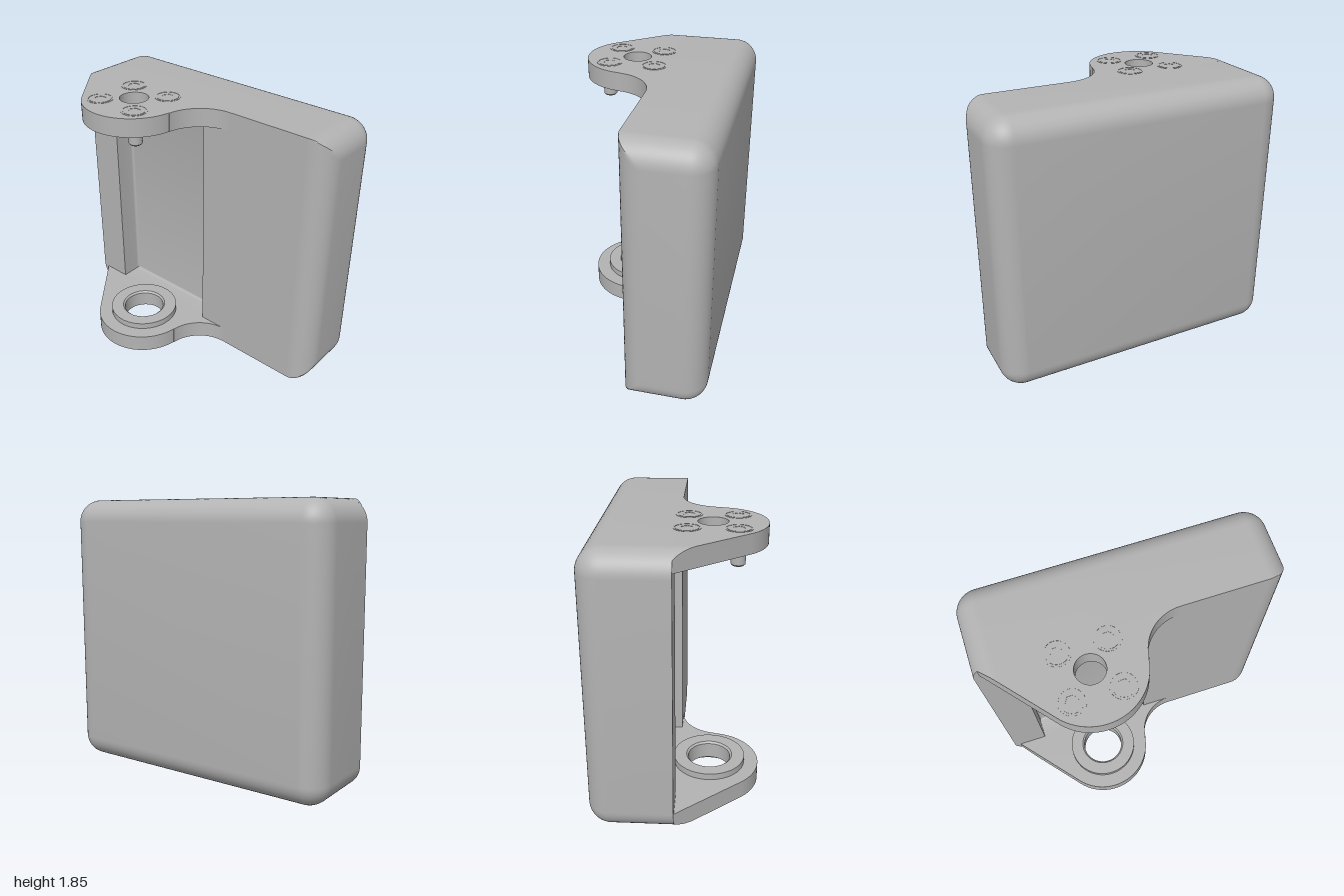
import * as THREE from 'three';
import { toCreasedNormals } from 'three/addons/utils/BufferGeometryUtils.js';

const R = 0.15, MID = 0.9225, HY = MID - R, HX = 1 - R; // edge radius, mid height, corner centres
const PIN = { x: -0.34, z: 0.21 }; // hinge axis

// Skin a list of equal-length rings; rings run counter-clockwise seen from +z.
function loft(rings, capStart, capEnd) {
  const p = [];
  const tri = (a, b, c) => p.push(...a, ...b, ...c);
  const n = rings[0].length;
  for (let i = 0; i < rings.length - 1; i++) {
    for (let j = 0; j < n; j++) {
      const k = (j + 1) % n, A = rings[i], B = rings[i + 1];
      tri(A[j], A[k], B[k]);
      tri(A[j], B[k], B[j]);
    }
  }
  const last = rings[rings.length - 1];
  for (let j = 1; j < n - 1; j++) {
    if (capStart) tri(rings[0][0], rings[0][j + 1], rings[0][j]);
    if (capEnd) tri(last[0], last[j], last[j + 1]);
  }
  const g = new THREE.BufferGeometry();
  g.setAttribute('position', new THREE.Float32BufferAttribute(p, 3));
  return toCreasedNormals(g, 0.6);
}

// Rounded rectangle at depth z, cut off at xMax.
function bodyRing(z, r, xMax = 1) {
  const pts = [], N = 14;
  [[1, 1], [-1, 1], [-1, -1], [1, -1]].forEach(([sx, sy], q) => {
    for (let i = 0; i <= N; i++) {
      const a = (q + i / N) * Math.PI / 2;
      pts.push([Math.min(sx * HX + r * Math.cos(a), xMax), MID + sy * HY + r * Math.sin(a), z]);
    }
  });
  return pts;
}

const rect = (x0, x1, y0, y1, z) => [[x0, y0, z], [x1, y0, z], [x1, y1, z], [x0, y1, z]];

function circle(Type, x, y, r) {
  return new Type().absarc(x, y, r, 0, Math.PI * 2, false);
}

// Extrude an x-z outline downwards from height top.
function slab(shape, top, depth) {
  const g = new THREE.ExtrudeGeometry(shape, { depth, bevelEnabled: false, curveSegments: 28 });
  g.rotateX(Math.PI / 2).translate(0, top, 0);
  return toCreasedNormals(g, 0.5);
}

function earShape(holeRadius) {
  const s = new THREE.Shape();
  const join = Math.atan2(0.07, 0.62);
  s.moveTo(-HX, 0);
  s.lineTo(-HX, 0.131);
  s.absarc(PIN.x, PIN.z, 0.34, 140 * Math.PI / 180, join, true);
  s.absarc(0.28, 0.28, 0.28, Math.PI + join, Math.PI * 1.5, false);
  s.closePath();
  s.holes.push(circle(THREE.Path, PIN.x, PIN.z, holeRadius));
  return s;
}

// Thin end of an ear, following the rounded body corner (s = 1 top, -1 bottom).
function earTip(s) {
  const g = new THREE.BoxGeometry(0.11, 1, 1, 12, 1, 1).translate(-0.905, 0, 0);
  const p = g.attributes.position;
  for (let i = 0; i < p.count; i++) {
    const x = p.getX(i);
    const outer = HY + Math.sqrt(Math.max(0, R * R - (x + HX) ** 2));
    const off = p.getY(i) * s > 0 ? outer : 0.7975;
    p.setXYZ(i, x, MID + s * off, p.getZ(i) > 0 ? (x + 0.96) * 1.191 : 0);
  }
  return toCreasedNormals(g, 0.5);
}

function lathe(points, segments = 48) {
  const pts = points.map(([x, y]) => new THREE.Vector2(x, y));
  return toCreasedNormals(new THREE.LatheGeometry(pts, segments), 0.5);
}

export function createModel() {
  const model = new THREE.Group();
  model.name = 'hingeBlock';
  const grey = new THREE.MeshStandardMaterial({ color: 0xb3b3b3 });
  grey.name = 'grey';
  const add = (name, geometry, x = 0, y = 0, z = 0) => {
    const m = new THREE.Mesh(geometry, grey);
    m.name = name;
    m.position.set(x, y, z);
    model.add(m);
  };

  // Body: rounded back edges, rounded left front edge
  const rings = [], N = 12;
  for (let i = 0; i <= N; i++) {
    const a = i / N * Math.PI / 2;
    rings.push(bodyRing(-0.55 + R * (1 - Math.cos(a)), R * Math.sin(a)));
  }
  for (let i = 0; i <= N; i++) {
    const a = i / N * Math.PI / 2;
    rings.push(bodyRing(-R + R * Math.sin(a), R, HX + R * Math.cos(a)));
  }
  add('body', loft(rings, true, false));

  // Front face with the recess opening
  const x0 = -0.76, x1 = 0.07, y0 = 0.125, y1 = 1.72, bottom = 0, top = 2 * MID;
  const face = new THREE.Shape();
  face.moveTo(HX, bottom);
  face.lineTo(HX, top);
  face.absarc(-HX, top - R, R, Math.PI / 2, Math.PI, false);
  face.absarc(-HX, R, R, Math.PI, Math.PI * 1.5, false);
  face.closePath();
  face.holes.push(new THREE.Path([[x0, y0], [x0, y1], [x1, y1], [x1, y0]]
    .map(([x, y]) => new THREE.Vector2(x, y))));
  add('frontFace', new THREE.ShapeGeometry(face, 14));

  // Recess with small fillets around its back wall
  const recess = [rect(x0, x1, y0, y1, 0)];
  for (let i = 0; i <= 4; i++) {
    const a = i / 4 * Math.PI / 2, t = 0.018 * (1 - Math.cos(a));
    recess.push(rect(x0 + t, x1 - t, y0 + t, y1 - t, -0.137 - 0.018 * Math.sin(a)));
  }
  add('recess', loft(recess, false, true));

  // Hinge ears
  add('topEar', slab(earShape(0.095), top, 0.125));
  add('topEarTip', earTip(1));
  add('bottomEar', slab(earShape(0.205), 0.125, 0.125));
  add('bottomEarTip', earTip(-1));

  // Flanged bushing in the bottom ear
  add('bushing', lathe([[0.145, 0.045], [0.205, 0.045], [0.205, 0.125], [0.245, 0.125],
    [0.245, 0.17], [0.158, 0.17], [0.145, 0.157], [0.145, 0.045]]), PIN.x, 0, PIN.z);

  // Four socket screws through the top ear
  const rim = circle(THREE.Shape, 0, 0, 0.085);
  rim.holes.push(circle(THREE.Path, 0, 0, 0.077));
  const head = circle(THREE.Shape, 0, 0, 0.071);
  const hex = [];
  for (let i = 0; i < 6; i++) {
    const a = i * Math.PI / 3;
    hex.push(new THREE.Vector2(0.04 * Math.cos(a), 0.04 * Math.sin(a)));
  }
  head.holes.push(new THREE.Path(hex));
  const rimGeo = slab(rim, 0.002, 0.003), headGeo = slab(head, 0.002, 0.003);
  const shaftGeo = lathe([[0, 1.62], [0.036, 1.62], [0.045, 1.63], [0.045, 1.73]], 24);
  for (const dx of [-0.153, 0.153]) {
    for (const dz of [-0.153, 0.153]) {
      const x = PIN.x + dx, z = PIN.z + dz;
      add('screwRim', rimGeo, x, top, z);
      add('screwHead', headGeo, x, top, z);
      add('screwShaft', shaftGeo, x, 0, z);
    }
  }
  return model;
}
